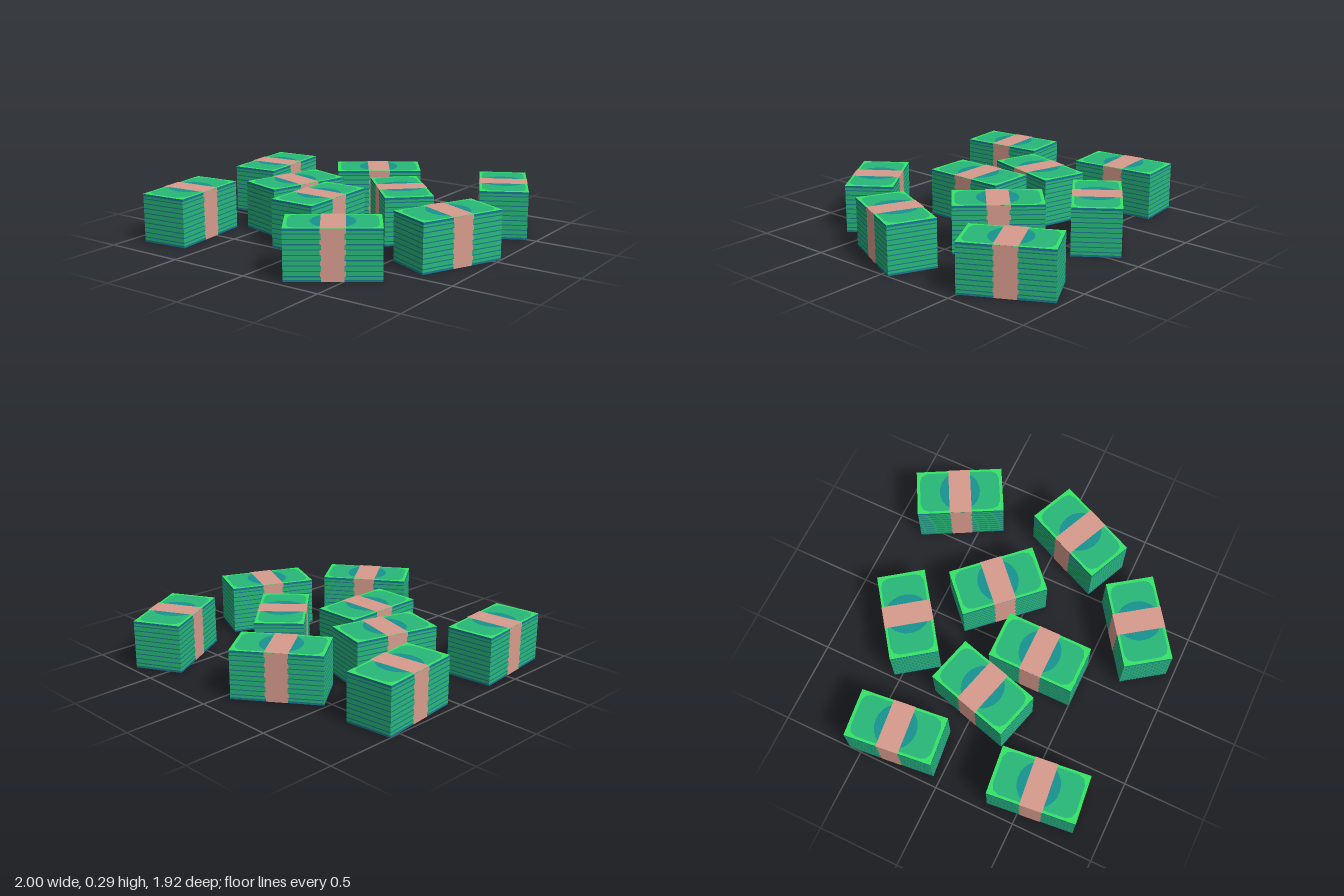
import * as THREE from 'three';

const W = 0.289, L = 0.53, H = 0.292, BAND = 0.136, LAYERS = 10;

const mat = (name, color) => {
  const m = new THREE.MeshStandardMaterial({ color, side: THREE.DoubleSide });
  m.name = name;
  return m;
};

// Outline from a list of [x, y] points
const outline = (pts) => new THREE.ShapeGeometry(new THREE.Shape(pts.map(([x, y]) => new THREE.Vector2(x, y))));

function rect(w, h, y = 0) {
  return new THREE.PlaneGeometry(w, h).translate(0, y, 0);
}

// Rectangle with cut corners
function cutRect(w, h, c) {
  const x = w / 2, y = h / 2, d = c * 0.3;
  return outline([
    [-x + c, -y], [x - c, -y], [x - d, -y + d], [x, -y + c],
    [x, y - c], [x - d, y - d], [x - c, y], [-x + c, y],
    [-x + d, y - d], [-x, y - c], [-x, -y + c], [-x + d, -y + d],
  ]);
}

// Paper band on a side, its edge stepping in and out with the layers
function steppedBand() {
  const right = [];
  for (let i = 0; i < LAYERS; i++) {
    const x = BAND / 2 + (i % 2 ? 0 : -0.006);
    right.push([x, (i / LAYERS) * H], [x, ((i + 1) / LAYERS) * H]);
  }
  const left = right.map(([x, y]) => [-x, y]).reverse();
  return outline([...right, ...left]);
}

export function createModel() {
  const green = mat('note green', 0x28b877);
  const bright = mat('border green', 0x35e466);
  const teal = mat('medallion teal', 0x189390);
  const blue = mat('edge blue', 0x1a7896);
  const pink = mat('band pink', 0xd79b8d);

  const add = (parent, name, geometry, material, z = 0) => {
    const mesh = new THREE.Mesh(geometry, material);
    mesh.name = name;
    mesh.position.z = z;
    parent.add(mesh);
  };
  // Paint that shows on both faces of a sheet
  const addBoth = (parent, name, geometry, material, z) => {
    add(parent, name, geometry, material, z);
    add(parent, name + 'Inside', geometry, material, -z);
  };

  // One side of a bundle, standing on y = 0 and facing +z
  function makeSide(name, width, banded) {
    const side = new THREE.Group();
    side.name = name;
    add(side, 'paperEdges', rect(width, H, H / 2), green);
    addBoth(side, 'bottomRim', rect(width, 0.012, 0.006), blue, 0.0008);
    addBoth(side, 'topRim', rect(width, 0.014, H - 0.007), blue, 0.0008);
    for (let i = 1; i < LAYERS; i++) {
      add(side, 'layerLine', rect(width, 0.006, (i / LAYERS) * H), blue, 0.0008);
    }
    if (banded) addBoth(side, 'sideBand', steppedBand(), pink, 0.002);
    return side;
  }

  // Bundle: four sides and a printed top, open underneath
  const bundle = new THREE.Group();
  for (const s of [1, -1]) {
    const long = makeSide('longSide', L, true);
    long.position.x = (s * W) / 2;
    long.rotation.y = (s * Math.PI) / 2;
    const end = makeSide('endSide', W, false);
    end.position.z = (s * L) / 2;
    end.rotation.y = s > 0 ? 0 : Math.PI;
    bundle.add(long, end);
  }
  const top = new THREE.Group();
  top.name = 'printedTop';
  top.rotation.x = -Math.PI / 2;
  top.position.y = H;
  add(top, 'border', rect(W + 0.002, L + 0.002), bright);
  addBoth(top, 'panel', cutRect(W - 0.028, L - 0.036, 0.05), green, 0.001);
  addBoth(top, 'medallion', new THREE.CircleGeometry(0.125, 24).scale(1.07, 1, 1), teal, 0.002);
  addBoth(top, 'topBand', rect(W + 0.004, BAND), pink, 0.003);
  bundle.add(top);

  // Scattered bundles: x, z, turn
  const places = [
    [-0.828, -0.322, 0.105], [-0.182, -0.58, -0.946], [0.687, -0.66, 0.495],
    [0.245, -0.185, 0.752], [-0.4, 0.025, -0.273], [-0.06, 0.235, 0],
    [0.755, 0.132, -0.423], [-0.782, 0.561, 0.105], [0.369, 0.685, -0.955],
  ];
  const model = new THREE.Group();
  model.name = 'bundles';
  places.forEach(([x, z, turn], i) => {
    const b = bundle.clone();
    b.name = 'bundle' + (i + 1);
    b.position.set(x, 0, z);
    b.rotation.y = turn;
    model.add(b);
  });
  return model;
}
